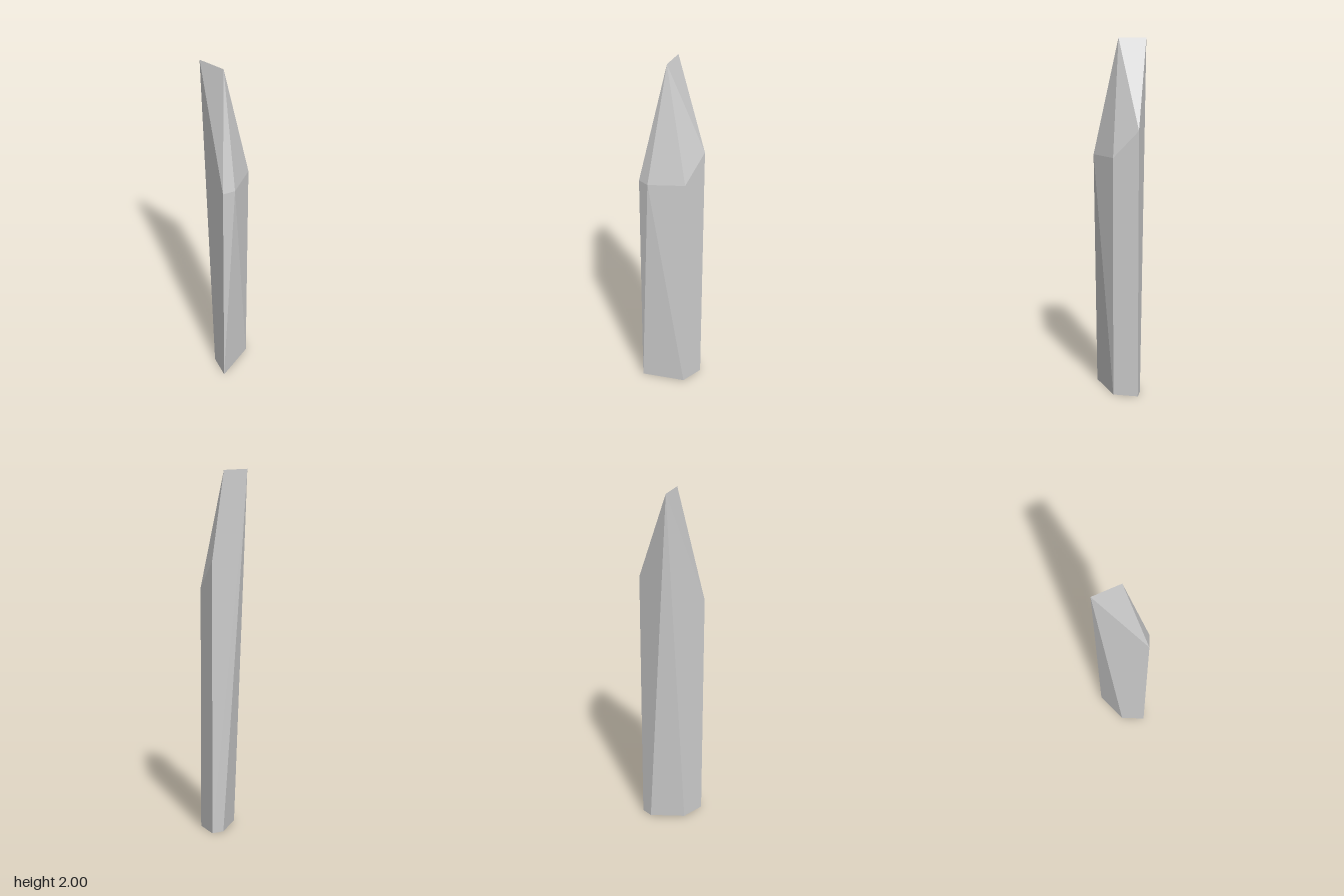
import * as THREE from 'three';
import { ConvexGeometry } from 'three/addons/geometries/ConvexGeometry.js';

export function createModel() {
  const group = new THREE.Group();
  group.name = 'crystalShard';

  const w = 0.106, d = 0.142; // half width and half depth
  const corners = [
    // five-sided base, with the back left corner cut off
    [-w, 0, d], [w, 0, 0], [w, 0, -d], [0.037, 0, -d], [-w, 0, 0],
    // shoulder where the long sides end
    [-w, 1.36, d], [-0.037, 1.36, d], [w, 1.36, 0], [w, 1.51, -d],
    // ridge at the top
    [-0.037, 2, 0], [-w, 2, -d],
  ].map((p) => new THREE.Vector3(...p));

  const shard = new THREE.Mesh(
    new ConvexGeometry(corners),
    new THREE.MeshStandardMaterial({ color: 0xcccccc, flatShading: true })
  );
  shard.name = 'shard';
  group.add(shard);
  return group;
}
